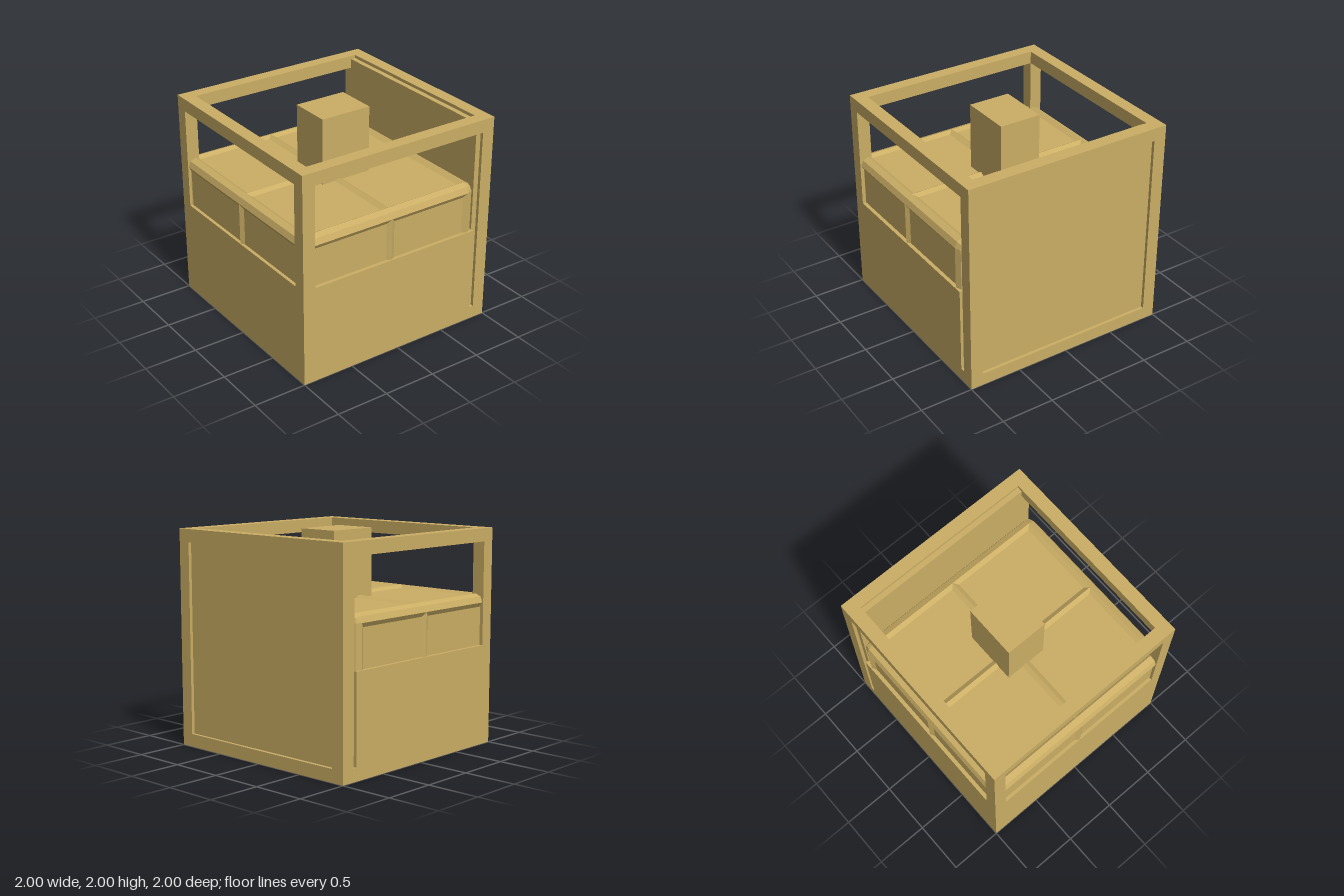
import * as THREE from 'three';

export function createModel() {
  const model = new THREE.Group();
  const sand = new THREE.MeshStandardMaterial({ color: 0xcbae65 });
  sand.name = 'sand';

  // Box given by its two extreme corners
  function box(name, min, max, parent = model) {
    const size = max.map((v, i) => v - min[i]);
    const mesh = new THREE.Mesh(new THREE.BoxGeometry(...size), sand);
    mesh.position.set(...max.map((v, i) => (v + min[i]) / 2));
    mesh.name = name;
    parent.add(mesh);
  }

  // Lower body, stopping short of the right side to leave a slot
  box('lowerBody', [-1, 0, -1], [0.835, 0.93, 1]);

  // Square frame bars around the open sides
  const frame = new THREE.Group();
  frame.name = 'frame';
  model.add(frame);
  box('bottomRightRail', [0.88, 0, -1], [1, 0.12, 1], frame);
  for (const s of [-1, 1]) {
    const z0 = s < 0 ? -1 : 0.88, z1 = z0 + 0.12;
    box('leftPost', [-1, 0.93, z0], [-0.88, 2, z1], frame);
    box('rightPost', [0.88, 0.12, z0], [1, 2, z1], frame);
    box('topCrossRail', [-0.88, 1.88, z0], [0.88, 2, z1], frame);
    box('bottomRailEnd', [0.835, 0, z0], [0.88, 0.12, z1], frame);
    const x0 = z0;
    box('topSideRail', [x0, 1.88, -0.88], [x0 + 0.12, 2, 0.88], frame);
  }

  // Thick panel set slightly back into the right side
  box('rightPanel', [0.83, 0.03, -0.97], [0.97, 1.97, 0.97]);

  // Raised block on top of the inner body
  box('topBlock', [-0.25, 1.3, -0.2], [0.25, 2, 0.2]);

  // Inner body with two-step bevels and four sunken panels per face
  const inner = new THREE.Mesh(paneledBlock([0.915, 0.55, 0.99], 0.077, 0.04, 0.025), sand);
  inner.position.set(-0.08, 0.85, 0);
  inner.name = 'paneledInnerBody';
  model.add(inner);

  return model;
}

// half: half sizes, r: bevel radius, w: panel slope width, d: panel depth
function paneledBlock(half, r, w, d) {
  const pos = [];
  const core = half.map(h => h - r);

  // Flat quad a-b-c-d wound so that it faces along out
  function quad(out, ...pts) {
    const [a, b, c, e] = pts.map(p => new THREE.Vector3(...p));
    const n = b.clone().sub(a).cross(c.clone().sub(a));
    const order = n.dot(new THREE.Vector3(...out)) > 0 ? [a, b, c, a, c, e] : [a, c, b, a, e, c];
    for (const p of order) pos.push(p.x, p.y, p.z);
  }
  // Point on the rounded surface: corner signs plus a bevel direction
  function at(signs, dir) {
    const len = Math.hypot(...dir);
    return signs.map((s, i) => s * core[i] + r * dir[i] / len);
  }

  for (let a = 0; a < 3; a++) {
    const b = (a + 1) % 3, c = (a + 2) % 3;
    const vec = (x, y, z) => { const v = []; v[a] = x; v[b] = y; v[c] = z; return v; };

    for (const s of [-1, 1]) {
      const out = vec(s, 0, 0);
      // Sunken panels
      for (const u of [-1, 1]) for (const v of [-1, 1]) {
        const ring = (k, depth) => [[0, 0], [1, 0], [1, 1], [0, 1]].map(([i, j]) =>
          vec(s * (half[a] - depth),
            u * (i ? core[b] - k : k),
            v * (j ? core[c] - k : k)));
        const rim = ring(0, 0), floor = ring(w, d);
        quad(out, ...floor);
        for (let i = 0; i < 4; i++) {
          const j = (i + 1) % 4;
          quad(out, rim[i], rim[j], floor[j], floor[i]);
        }
      }
      // Two bevel strips on each edge that runs along axis c
      for (const t of [-1, 1]) {
        const mid = vec(s, t, 0);
        for (const dir of [vec(s, 0, 0), vec(0, t, 0)]) {
          const lo = vec(s, t, -1), hi = vec(s, t, 1);
          quad(mid, at(lo, dir), at(hi, dir), at(hi, mid), at(lo, mid));
        }
        // Third of each rounded corner
        for (const q of [-1, 1]) {
          const corner = vec(s, t, q);
          quad(corner, at(corner, vec(s, 0, 0)), at(corner, mid),
            at(corner, corner), at(corner, vec(s, 0, q)));
        }
      }
    }
  }
  const geo = new THREE.BufferGeometry();
  geo.setAttribute('position', new THREE.Float32BufferAttribute(pos, 3));
  geo.computeVertexNormals();
  return geo;
}
